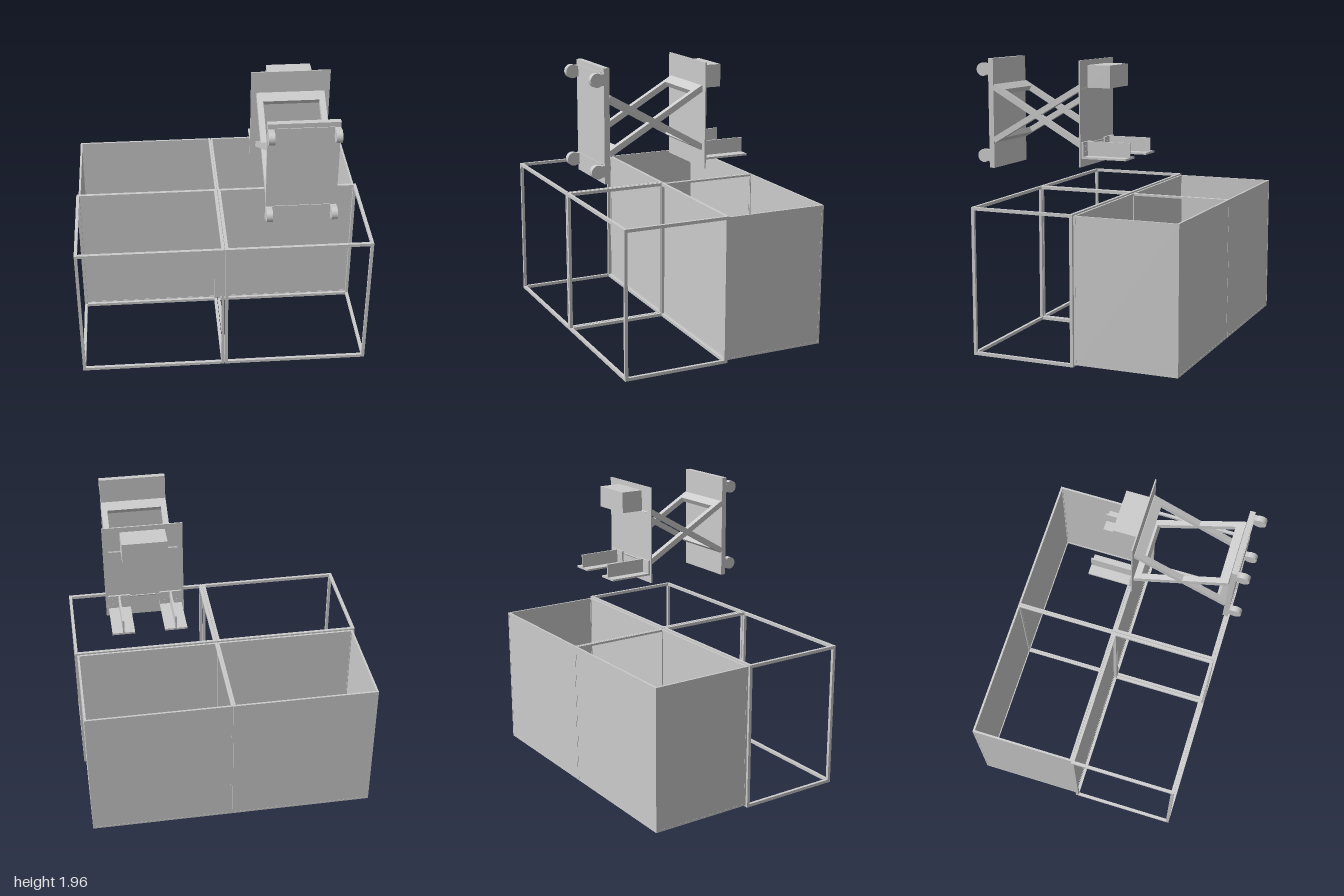
import * as THREE from 'three';

const material = new THREE.MeshStandardMaterial({ color: 0xcccccc });

function add(parent, name, geometry) {
  const mesh = new THREE.Mesh(geometry, material);
  mesh.name = name;
  parent.add(mesh);
  return mesh;
}

// Box given by its extents on each axis
function block(parent, name, [x0, x1], [y0, y1], [z0, z1]) {
  const mesh = add(parent, name, new THREE.BoxGeometry(x1 - x0, y1 - y0, z1 - z0));
  mesh.position.set((x0 + x1) / 2, (y0 + y1) / 2, (z0 + z1) / 2);
  return mesh;
}

// Twelve bars along the edges of a cuboid
function barFrame(parent, name, x, y, z, t) {
  const frame = new THREE.Group();
  frame.name = name;
  parent.add(frame);
  const ends = ([a, b]) => [[a, a + t], [b - t, b]];
  const inner = ([a, b]) => [a + t, b - t];
  for (const ex of ends(x)) for (const ez of ends(z)) block(frame, 'post', ex, y, ez);
  for (const ey of ends(y)) {
    for (const ez of ends(z)) block(frame, 'crossRail', inner(x), ey, ez);
    for (const ex of ends(x)) block(frame, 'sideRail', ex, ey, inner(z));
  }
  return frame;
}

// Rectangular scissor frame running between two points of the side plane
function scissorFrame(parent, [z0, y0], [z1, y1]) {
  const length = Math.hypot(z1 - z0, y1 - y0);
  const frame = new THREE.Group();
  frame.name = 'scissorFrame';
  const h = length / 2, w = 0.23, t = 0.019;
  for (const s of [-1, 1]) {
    const arm = add(frame, 'scissorArm', new THREE.BoxGeometry(0.04, 2 * t, length));
    arm.position.x = s * (w - 0.02);
    const bar = add(frame, 'scissorCrossbar', new THREE.BoxGeometry(2 * w - 0.08, 2 * t, 0.07));
    bar.position.z = s * (h - 0.035);
  }
  frame.position.set(0.49, (y0 + y1) / 2, (z0 + z1) / 2);
  frame.rotation.x = -Math.atan2(y1 - y0, z1 - z0);
  parent.add(frame);
}

export function createModel() {
  const model = new THREE.Group();
  model.name = 'framedBinsWithScissorLift';

  // Open front frames and walled rear frames, one pair on each side
  for (const side of [-1, 1]) {
    const span = (a, b) => (side > 0 ? [a, b] : [-b, -a]);
    barFrame(model, 'frontFrame', span(0.002, 0.998), [0, 1], [-0.056, 0.675], 0.021);
    barFrame(model, 'rearFrame', span(0.001, 0.983), [0.013, 0.99], [-0.772, -0.058], 0.014);
    block(model, 'rearWall', span(0.012, 0.972), [0.016, 0.987], [-0.771, -0.764]);
    block(model, 'dividingWall', span(0.012, 0.972), [0.016, 0.987], [-0.067, -0.06]);
    block(model, 'sideWall', span(0.975, 0.982), [0.016, 0.987], [-0.762, -0.068]);
  }

  // Scissor lift with its two plates
  const lift = new THREE.Group();
  lift.name = 'scissorLift';
  model.add(lift);
  block(lift, 'frontPlate', [0.26, 0.72], [1.225, 1.957], [0.648, 0.685]);
  block(lift, 'backPlate', [0.223, 0.757], [1.267, 1.957], [-0.005, 0.004]);
  scissorFrame(lift, [0, 1.4], [0.65, 1.77]);
  scissorFrame(lift, [0, 1.79], [0.65, 1.412]);
  block(lift, 'motorBox', [0.34, 0.64], [1.775, 1.922], [-0.165, -0.005]);

  // Rounded hooks joined by thin strips on the front plate
  for (const y of [1.883, 1.305]) {
    block(lift, 'hookStrip', [0.3, 0.68], [y - 0.042, y + 0.042], [0.685, 0.69]);
    for (const x of [0.28, 0.7]) {
      const hook = add(lift, 'hook', new THREE.CylinderGeometry(0.044, 0.044, 0.04, 32));
      hook.rotation.z = Math.PI / 2;
      hook.position.set(x, y, 0.728);
      block(lift, 'hookStem', [x - 0.0195, x + 0.0195], [y - 0.034, y + 0.038], [0.685, 0.725]);
    }
  }

  // Fork brackets: flat tine, upright web, mounting flange with bolts
  for (const x of [0.315, 0.665]) {
    const bracket = new THREE.Group();
    bracket.name = 'forkBracket';
    lift.add(bracket);
    block(bracket, 'tine', [x - 0.075, x + 0.075], [1.322, 1.335], [-0.315, -0.005]);
    block(bracket, 'web', [x - 0.006, x + 0.006], [1.335, 1.43], [-0.315, -0.018]);
    block(bracket, 'flange', [x - 0.075, x + 0.075], [1.335, 1.43], [-0.018, -0.005]);
    for (const dx of [-0.042, 0.042]) for (const y of [1.365, 1.4]) {
      const bolt = add(bracket, 'bolt', new THREE.CylinderGeometry(0.006, 0.006, 0.004, 12));
      bolt.rotation.x = Math.PI / 2;
      bolt.position.set(x + dx, y, -0.019);
    }
  }
  return model;
}
